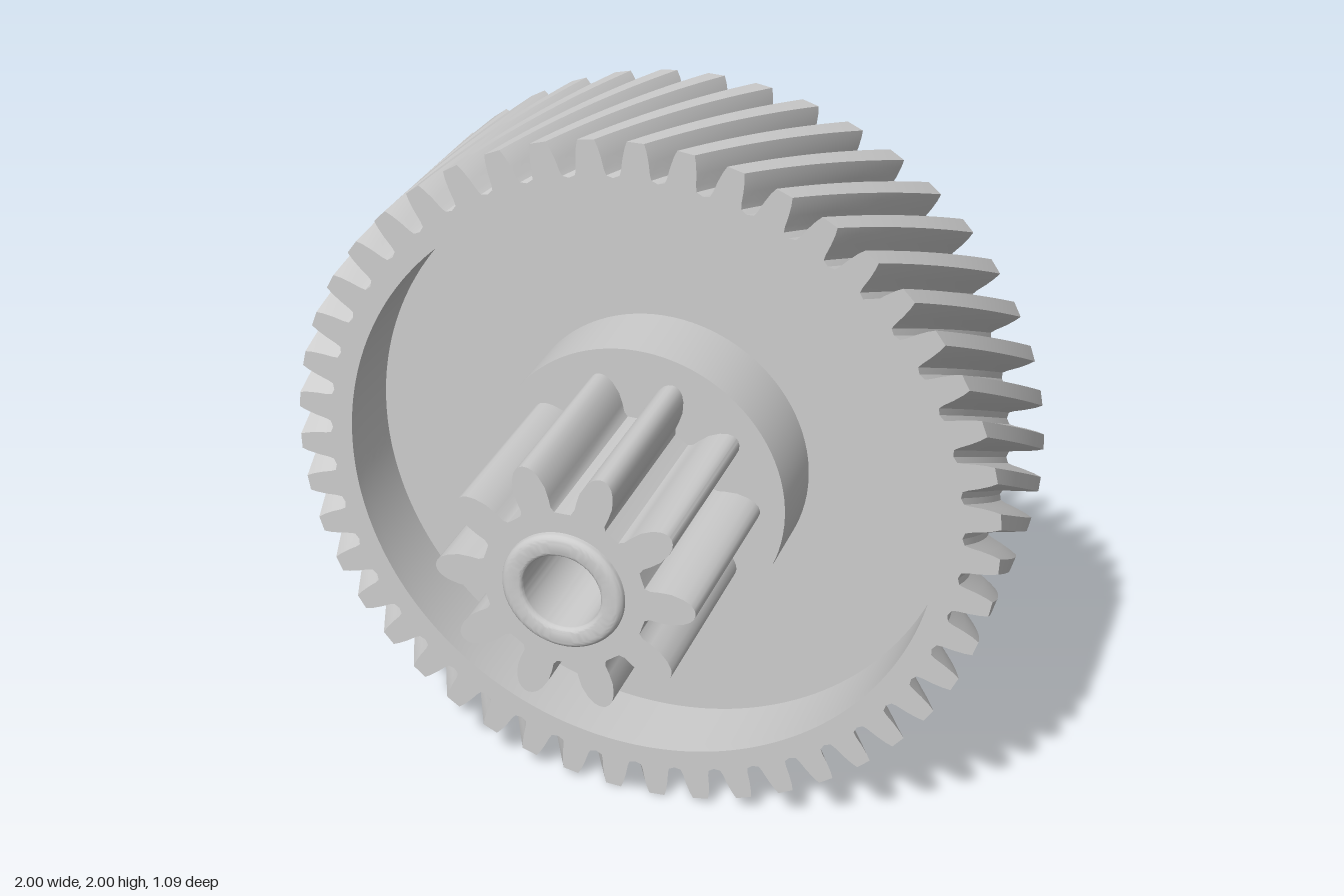
import * as THREE from 'three';
import { toCreasedNormals } from 'three/addons/utils/BufferGeometryUtils.js';

const material = new THREE.MeshStandardMaterial({ color: 0xcccccc });
const CREASE = 0.5;

// Closed gear outline; flank lists [radius, half angle] from root to tip.
function gearShape(teeth, flank, startAngle, holeRadius) {
  const points = [];
  const pitch = (2 * Math.PI) / teeth;
  const add = (r, a) => points.push(new THREE.Vector2(r * Math.cos(a), r * Math.sin(a)));
  for (let i = 0; i < teeth; i++) {
    const a = startAngle + i * pitch;
    flank.forEach(([r, half]) => add(r, a - half));
    [...flank].reverse().forEach(([r, half]) => add(r, a + half));
    add(flank[0][0] * 0.993, a + pitch / 2);
  }
  const shape = new THREE.Shape(points);
  const hole = new THREE.Path();
  hole.absarc(0, 0, holeRadius, 0, 2 * Math.PI, true);
  shape.holes.push(hole);
  return shape;
}

// Extrudes a gear from z0 to z1, turning it steadily by twist radians.
function gearGeometry(shape, z0, z1, twist, steps) {
  const depth = z1 - z0;
  const geometry = new THREE.ExtrudeGeometry(shape, {
    depth, steps, bevelEnabled: false, curveSegments: 96,
  });
  const pos = geometry.attributes.position;
  const v = new THREE.Vector3();
  const axis = new THREE.Vector3(0, 0, 1);
  for (let i = 0; i < pos.count; i++) {
    v.fromBufferAttribute(pos, i);
    v.applyAxisAngle(axis, twist * (v.z / depth - 1));
    pos.setXYZ(i, v.x, v.y, v.z + z0);
  }
  return toCreasedNormals(geometry, CREASE);
}

// Quarter arc of [radius, z] points.
function arc(cx, cz, r, from, to, n = 6) {
  return Array.from({ length: n + 1 }, (_, i) => {
    const a = from + ((to - from) * i) / n;
    return [cx + r * Math.cos(a), cz + r * Math.sin(a)];
  });
}

export function createModel() {
  const group = new THREE.Group();
  group.name = 'compoundGear';
  const add = (name, geometry) => {
    const mesh = new THREE.Mesh(geometry, material);
    mesh.name = name;
    mesh.position.y = 1;
    group.add(mesh);
  };

  // Large helical toothed rim
  const rimFlank = [[0.905, 0.047], [0.92, 0.042], [0.95, 0.037], [0.98, 0.03], [1, 0.023]];
  add('helicalRim', gearGeometry(
    gearShape(47, rimFlank, Math.PI / 2, 0.84), -0.54, -0.01, 0.306, 14));

  // Small straight pinion
  const pinionFlank = [[0.222, 0.215], [0.235, 0.18], [0.26, 0.172], [0.29, 0.155],
    [0.32, 0.115], [0.338, 0.078], [0.347, 0.045], [0.351, 0.012]];
  add('pinion', gearGeometry(gearShape(10, pinionFlank, 0, 0.15), -0.02, 0.522, 0, 1));

  // Web, raised boss, front collar, bore, rear tube and rear well in one turned profile
  const half = Math.PI / 2;
  const profile = [
    [0.845, -0.32], [0.845, -0.235], [0.42, -0.235], [0.42, -0.012],
    [0.165, -0.012],
    ...arc(0.143, 0.523, 0.022, 0, half),
    ...arc(0.12, 0.53, 0.015, half, 2 * half),
    [0.105, -0.54], [0.195, -0.54], [0.195, -0.09], [0.34, -0.09],
    ...arc(0.4, -0.26, 0.06, 2 * half, 3 * half, 8),
    [0.845, -0.32],
  ].map(([r, z]) => new THREE.Vector2(r, z));
  const hub = new THREE.LatheGeometry(profile, 96);
  hub.rotateX(half);
  add('webAndHub', toCreasedNormals(hub, CREASE));

  return group;
}
